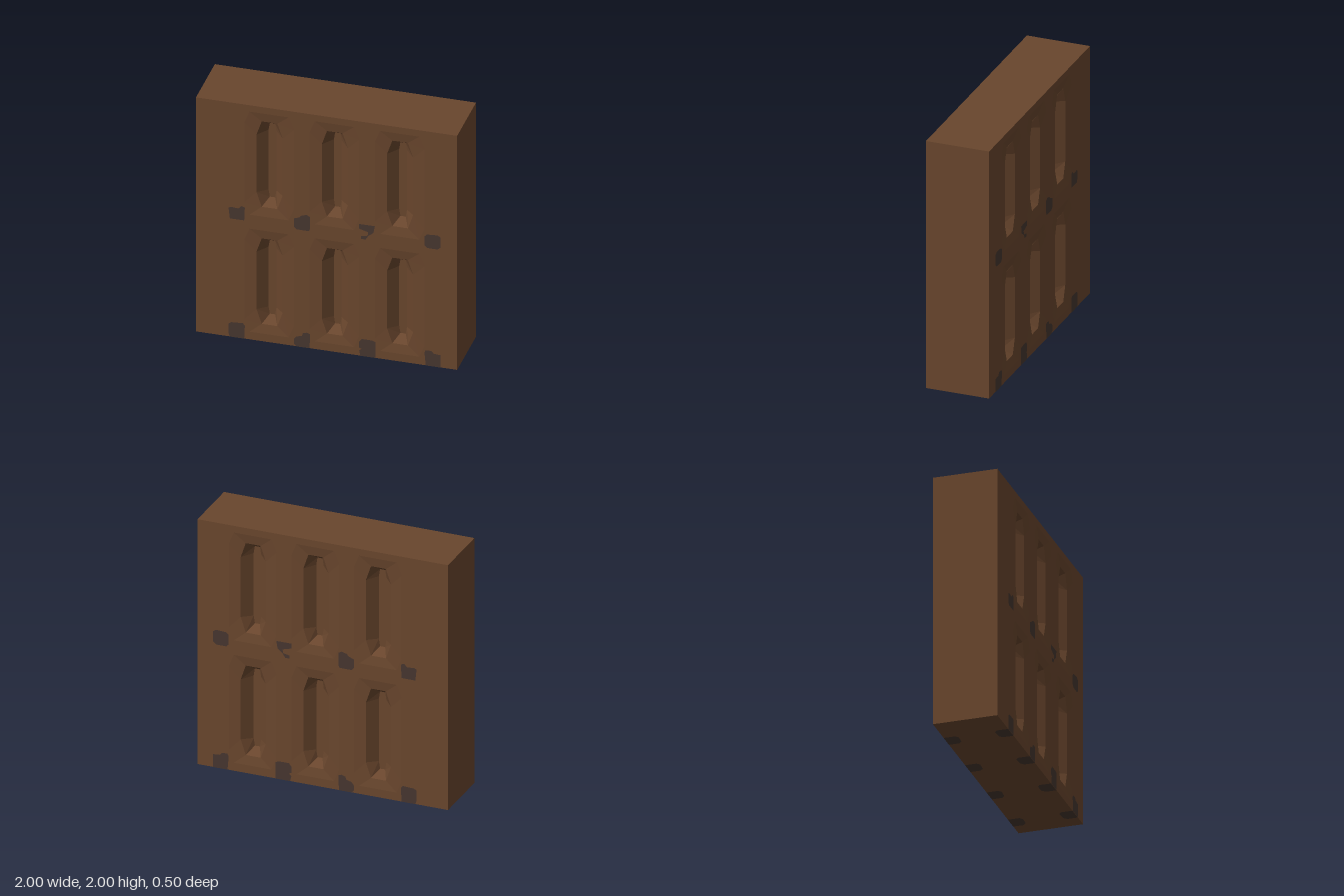
import * as THREE from 'three';

const wood = new THREE.MeshStandardMaterial({ name: 'brown wood', color: 0x69462d });
const stain = new THREE.MeshStandardMaterial({ name: 'dark stain', color: 0x46362f });

const HALF_DEPTH = 0.25;
const columns = [-0.44, 0.06, 0.56];
const rows = [0.505, 1.505];

// Octagon outline: half width, half height, and the two chamfer legs
function octagon(cx, cy, w, h, cw, ch) {
  return [
    [w - cw, -h], [w, ch - h], [w, h - ch], [w - cw, h],
    [cw - w, h], [-w, h - ch], [-w, ch - h], [cw - w, -h],
  ].map(([x, y]) => new THREE.Vector2(cx + x, cy + y));
}

// Joins counter-clockwise rings, each { points, z }, from front to back.
// Faces point inwards, or outwards when outward is true.
function loft(rings, outward = false) {
  const pos = [];
  const put = (ring, i) => {
    const p = ring.points[i % ring.points.length];
    pos.push(p.x, p.y, ring.z);
  };
  for (let r = 0; r < rings.length - 1; r++) {
    const a = rings[r], b = rings[r + 1];
    for (let i = 0; i < a.points.length; i++) {
      const quad = [[a, i], [a, i + 1], [b, i + 1], [a, i], [b, i + 1], [b, i]];
      if (outward) quad.reverse();
      quad.forEach(([ring, k]) => put(ring, k));
    }
  }
  const g = new THREE.BufferGeometry();
  g.setAttribute('position', new THREE.Float32BufferAttribute(pos, 3));
  g.computeVertexNormals();
  return g;
}

function add(parent, name, geometry, material, z = 0) {
  const mesh = new THREE.Mesh(geometry, material);
  mesh.name = name;
  mesh.position.z = z;
  parent.add(mesh);
  return mesh;
}

// Irregular stain outlines, measured from the lower left of each spot
const spots = [
  [-0.75, 1.0, [[0.01, 0.01], [0.12, 0.01], [0.125, 0.12], [0.1, 0.13], [0.075, 0.105], [0.02, 0.11], [0, 0.1]]],
  [-0.25, 1.0, [[0.02, 0], [0.115, 0], [0.125, 0.02], [0.125, 0.12], [0.1, 0.135], [0.06, 0.125], [0.04, 0.105], [0, 0.09], [0, 0.02]]],
  [0.25, 1.0, [[0.015, 0], [0.05, 0], [0.07, 0.035], [0.11, 0.065], [0.12, 0.125], [0, 0.125], [0, 0.085], [0.07, 0.065], [0.065, 0.035], [0.015, 0.025]]],
  [0.75, 1.0, [[0.02, 0.005], [0.1, 0.005], [0.125, 0.025], [0.125, 0.11], [0.1, 0.125], [0.02, 0.12], [0, 0.1], [0, 0.025]]],
  [-0.75, 0, [[0.01, 0], [0.12, 0], [0.125, 0.11], [0.11, 0.13], [0.02, 0.125], [0, 0.11], [0, 0.03]]],
  [-0.25, 0, [[0.02, 0], [0.12, 0], [0.125, 0.12], [0.1, 0.13], [0.07, 0.12], [0.06, 0.095], [0.02, 0.085], [0, 0.06], [0, 0.02]]],
  [0.25, 0, [[0.01, 0], [0.125, 0], [0.125, 0.135], [0.1, 0.145], [0.02, 0.145], [0, 0.12], [0, 0.07], [0.02, 0.06], [0, 0.045]]],
  [0.75, 0, [[0.01, 0], [0.125, 0], [0.125, 0.105], [0.07, 0.11], [0.055, 0.13], [0.01, 0.13], [0, 0.11]]],
];

function createFace() {
  const face = new THREE.Group();
  face.name = 'carvedFace';

  // Flat panel with an opening around every groove
  const panel = new THREE.Shape([[-1, 0], [1, 0], [1, 2], [-1, 2]].map(p => new THREE.Vector2(...p)));
  for (const y of rows) {
    for (const x of columns) {
      const rim = octagon(x, y, 0.19, 0.44, 0.04, 0.1);
      const mouth = octagon(x, y, 0.1, 0.365, 0.04, 0.12);
      const floor = octagon(x, y, 0.03, 0.315, 0.01, 0.06);
      panel.holes.push(new THREE.Path(rim));

      // Shallow dish leading into a bevelled groove
      const z = HALF_DEPTH;
      add(face, 'grooveWalls', loft([
        { points: rim, z },
        { points: mouth, z: z - 0.012 },
        { points: floor, z: z - 0.09 },
      ]), wood);
      add(face, 'grooveFloor', new THREE.ShapeGeometry(new THREE.Shape(floor)), wood, z - 0.09);
    }
  }
  add(face, 'panel', new THREE.ShapeGeometry(panel), wood, HALF_DEPTH);

  // Dark spots on the face
  for (const [x, y, outline] of spots) {
    const shape = new THREE.Shape(outline.map(p => new THREE.Vector2(x + p[0], y + p[1])));
    add(face, 'stainSpot', new THREE.ShapeGeometry(shape), stain, HALF_DEPTH + 0.002);
  }

  // Matching spots wrapped under the bottom edge
  for (const x of [-0.75, -0.25, 0.25, 0.75]) {
    const outline = [[0, 0.25], [0, 0.16], [0.025, 0.14], [0.1, 0.145], [0.125, 0.17], [0.125, 0.25]];
    const shape = new THREE.Shape(outline.map(p => new THREE.Vector2(x + p[0], p[1])));
    const g = new THREE.ShapeGeometry(shape).rotateX(Math.PI / 2).translate(0, -0.001, 0);
    add(face, 'bottomStain', g, stain);
  }
  return face;
}

export function createModel() {
  const model = new THREE.Group();
  model.name = 'groovedBlock';

  // Four plain sides of the block
  const outline = [[-1, 0], [1, 0], [1, 2], [-1, 2]].map(p => new THREE.Vector2(...p));
  add(model, 'blockSides', loft([
    { points: outline, z: HALF_DEPTH },
    { points: outline, z: -HALF_DEPTH },
  ], true), wood);

  // Front, and its mirror image on the back
  const front = createFace();
  const back = createFace();
  front.name = 'frontFace';
  back.name = 'backFace';
  back.scale.z = -1;
  model.add(front, back);
  return model;
}
